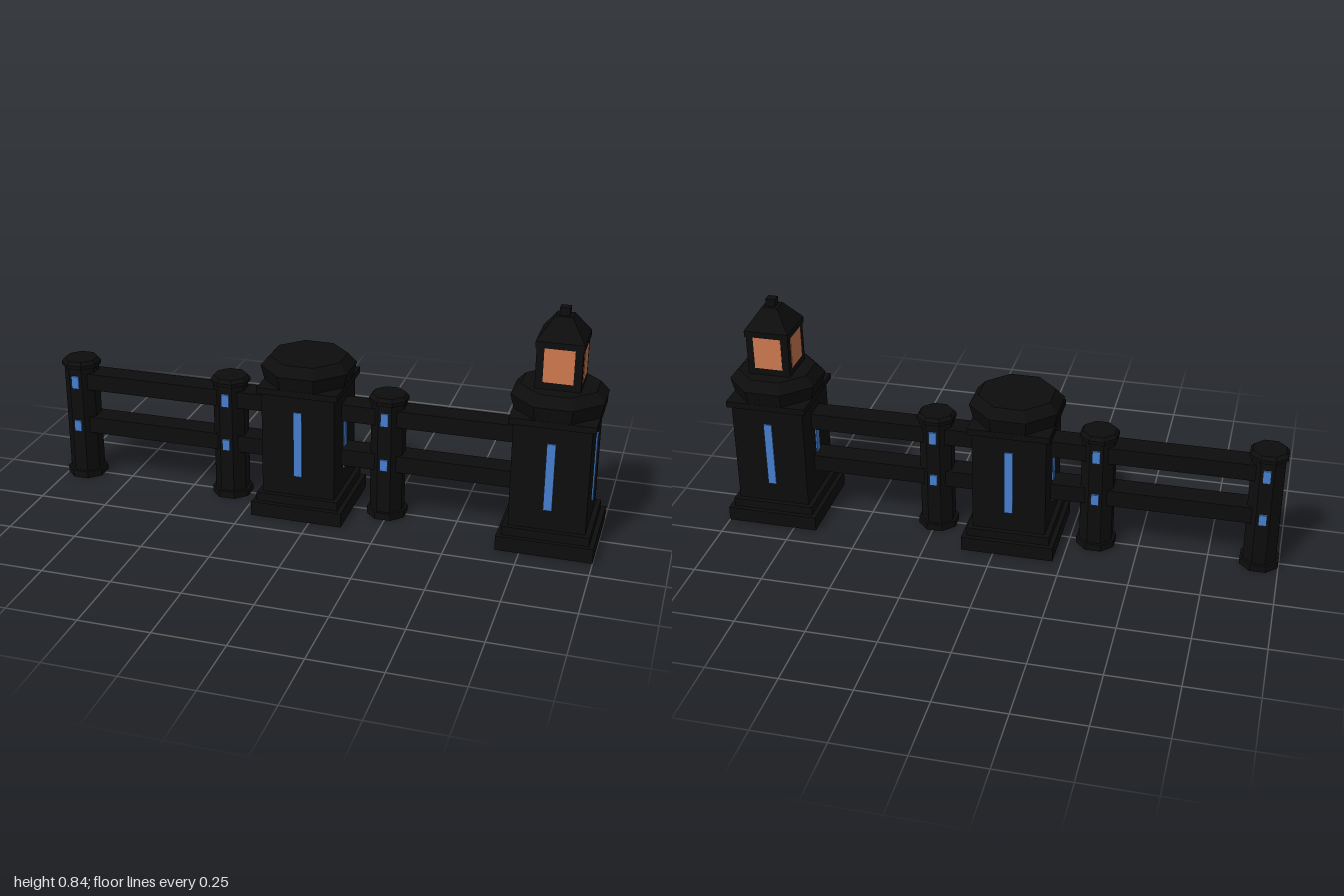
import * as THREE from 'three';

const iron = new THREE.MeshStandardMaterial({ color: 0x0d0d0d });
iron.name = 'blackIron';
const blue = new THREE.MeshStandardMaterial({ color: 0x4680d0 });
blue.name = 'blueGlow';
const amber = new THREE.MeshStandardMaterial({ color: 0xd07a50 });
amber.name = 'amberGlass';

function add(parent, name, geometry, material, x, y, z) {
  const mesh = new THREE.Mesh(geometry, material);
  mesh.name = name;
  mesh.position.set(x, y, z);
  parent.add(mesh);
  return mesh;
}

// Faceted prism with its flats on the axes; a0 and a1 are the half widths at y0 and y1
function prism(parent, name, sides, a0, a1, y0, y1) {
  const k = Math.cos(Math.PI / sides);
  const g = new THREE.CylinderGeometry(a1 / k, a0 / k, y1 - y0, sides)
    .rotateY(Math.PI / sides).toNonIndexed();
  g.computeVertexNormals();
  return add(parent, name, g, iron, 0, (y0 + y1) / 2, 0);
}

// Thin plate repeated around the axis, with its outer face at distance d
function plates(parent, name, material, w, y0, y1, d, count) {
  const t = 0.008;
  for (let i = 0; i < count; i++) {
    const a = (i * Math.PI * 2) / count;
    const r = d - t / 2;
    const m = add(parent, name, new THREE.BoxGeometry(w, y1 - y0, t), material,
      Math.sin(a) * r, (y0 + y1) / 2, Math.cos(a) * r);
    m.rotation.y = a;
  }
}

function makePillar(x) {
  const g = new THREE.Group();
  g.name = 'pillar';
  g.position.x = x;
  prism(g, 'plinth', 4, 0.167, 0.167, 0, 0.053);
  prism(g, 'plinthStep', 4, 0.15, 0.15, 0.053, 0.085);
  prism(g, 'pillarShaft', 4, 0.132, 0.132, 0.085, 0.465);
  prism(g, 'pillarSlab', 4, 0.146, 0.146, 0.465, 0.488);
  prism(g, 'capFlare', 8, 0.145, 0.157, 0.488, 0.54);
  prism(g, 'capTop', 8, 0.157, 0.127, 0.54, 0.575);
  plates(g, 'lightStrip', blue, 0.03, 0.16, 0.405, 0.137, 4);
  return g;
}

function makeLantern(x) {
  const g = new THREE.Group();
  g.name = 'lantern';
  g.position.x = x;
  prism(g, 'lanternHousing', 4, 0.077, 0.077, 0.575, 0.722);
  plates(g, 'lanternPane', amber, 0.102, 0.6, 0.72, 0.079, 4);
  prism(g, 'roofEave', 4, 0.081, 0.081, 0.72, 0.742);
  prism(g, 'roof', 4, 0.081, 0.028, 0.742, 0.816);
  prism(g, 'finial', 4, 0.017, 0.017, 0.816, 0.843);
  return g;
}

function makePost(x) {
  const g = new THREE.Group();
  g.name = 'fencePost';
  g.position.x = x;
  prism(g, 'postFoot', 8, 0.068, 0.068, 0, 0.026);
  prism(g, 'postShaft', 8, 0.058, 0.058, 0.026, 0.437);
  prism(g, 'postCap', 8, 0.066, 0.066, 0.437, 0.45);
  prism(g, 'postCapTop', 8, 0.066, 0.056, 0.45, 0.463);
  // small lights at rail height, front and back
  plates(g, 'postLight', blue, 0.028, 0.36, 0.408, 0.065, 2);
  plates(g, 'postLight', blue, 0.028, 0.19, 0.232, 0.065, 2);
  return g;
}

export function createModel() {
  const model = new THREE.Group();
  model.name = 'fence';
  const pillars = [-0.05, 0.833];
  const posts = [-0.931, -0.345, 0.243];
  pillars.forEach((x) => model.add(makePillar(x)));
  posts.forEach((x) => model.add(makePost(x)));
  model.add(makeLantern(pillars[1]));

  // Upper and lower rails in spans between posts and pillars
  const stops = [...pillars.map((x) => [x, 0.125]), ...posts.map((x) => [x, 0.03])]
    .sort((a, b) => a[0] - b[0]);
  for (const y of [0.212, 0.384]) {
    for (let i = 0; i < stops.length - 1; i++) {
      const x0 = stops[i][0] + stops[i][1];
      const x1 = stops[i + 1][0] - stops[i + 1][1];
      add(model, 'rail', new THREE.BoxGeometry(x1 - x0, 0.062, 0.086), iron, (x0 + x1) / 2, y, 0);
    }
  }
  return model;
}
